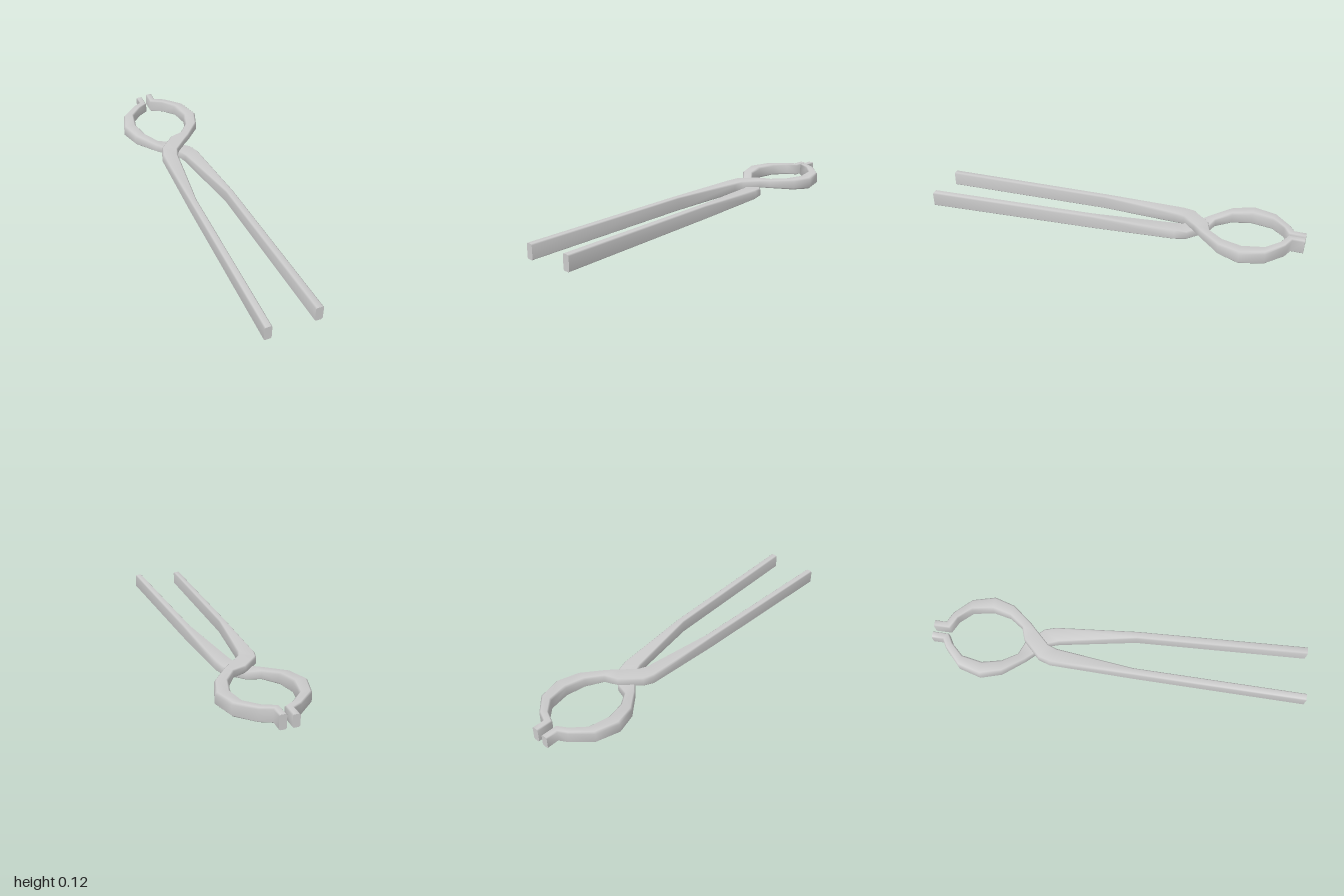
import * as THREE from 'three';

const material = new THREE.MeshStandardMaterial({ color: 0xcccccc });

// Jaw and crossing stations shared by both arms: [x1, z1, x2, z2, bottom, top].
// Side 1 is outside on the handle and inside on the jaw; lower arm's heights.
const head = [
  [0.105, -0.36, 0.022, -0.33, 0.034, 0.086],
  [0.088, -0.42, 0.006, -0.38, 0.036, 0.08],
  [0.0, -0.51, -0.06, -0.45, 0.038, 0.078],
  [-0.07, -0.535, -0.1, -0.49, 0.04, 0.085],
  [-0.125, -0.61, -0.19, -0.6, 0.043, 0.104],
  [-0.15, -0.71, -0.224, -0.71, 0.044, 0.112],
  [-0.13, -0.82, -0.19, -0.83, 0.047, 0.113],
  [-0.07, -0.885, -0.1, -0.915, 0.05, 0.114],
  [-0.02, -0.915, -0.056, -0.94, 0.05, 0.114],
  [-0.02, -1.0, -0.056, -1.0, 0.05, 0.114],
];
// Heights of the upper arm at the same stations
const upperHeights = [
  [0.05, 0.107], [0.062, 0.111], [0.074, 0.114], [0.07, 0.114], [0.056, 0.113],
  [0.046, 0.113], [0.048, 0.117], [0.05, 0.121], [0.05, 0.123], [0.05, 0.124],
];

// Bar with a chamfered rectangular section at every station
function sweepBar(stations, flip) {
  const pos = [], idx = [], n = 8;
  const rings = stations.map(([x1, z1, x2, z2, b, t]) => {
    const w = Math.hypot(x1 - x2, z1 - z2);
    const c = 0.16 * Math.min(w, t - b), u = c / w, v = c / (t - b);
    return [[0, v], [0, 1 - v], [u, 1], [1 - u, 1], [1, 1 - v], [1, v], [1 - u, 0], [u, 0]]
      .map(([s, h]) => [x1 + (x2 - x1) * s, b + (t - b) * h, z1 + (z2 - z1) * s]);
  });
  const tri = (a, b, c) => (flip ? idx.push(a, c, b) : idx.push(a, b, c));
  rings.forEach((ring) => ring.forEach((p) => pos.push(...p)));
  for (let i = 0; i < rings.length - 1; i++) {
    for (let j = 0; j < n; j++) {
      const a = i * n + j, b = i * n + (j + 1) % n;
      tri(a, a + n, b);
      tri(b, a + n, b + n);
    }
  }
  // Flat end caps with their own vertices
  [rings[0], rings[rings.length - 1]].forEach((ring, k) => {
    const s = pos.length / 3;
    ring.forEach((p) => pos.push(...p));
    for (let j = 1; j < n - 1; j++) {
      if (k === 0) tri(s, s + j, s + j + 1);
      else tri(s, s + j + 1, s + j);
    }
  });
  const g = new THREE.BufferGeometry();
  g.setAttribute('position', new THREE.Float32BufferAttribute(pos, 3));
  g.setIndex(idx);
  g.computeVertexNormals();
  return g;
}

export function createModel() {
  const group = new THREE.Group();
  group.name = 'tongs';

  // Lower arm: handle on +x, jaw on -x
  const lower = [
    [0.18, 0.99, 0.14, 0.99, 0.01, 0.09],
    [0.137, 0.08, 0.096, 0.08, 0.028, 0.1],
    ...head,
  ];
  // Upper arm: handle on -x, jaw on +x, handles splayed slightly differently
  const upper = [
    [-0.114, 1.0, -0.076, 1.0, 0.0, 0.078],
    [-0.109, 0.08, -0.07, 0.08, 0.028, 0.1],
    ...head.map(([x1, z1, x2, z2], i) => {
      const jaw = i > 7 ? 0.014 : 0; // tip sits closer to the middle
      return [-x1 - jaw, z1, -x2 - jaw, z2, ...upperHeights[i]];
    }),
  ];

  [['lowerArm', lower, false], ['upperArm', upper, true]].forEach(([name, stations, flip]) => {
    const mesh = new THREE.Mesh(sweepBar(stations, flip), material);
    mesh.name = name;
    group.add(mesh);
  });
  return group;
}
